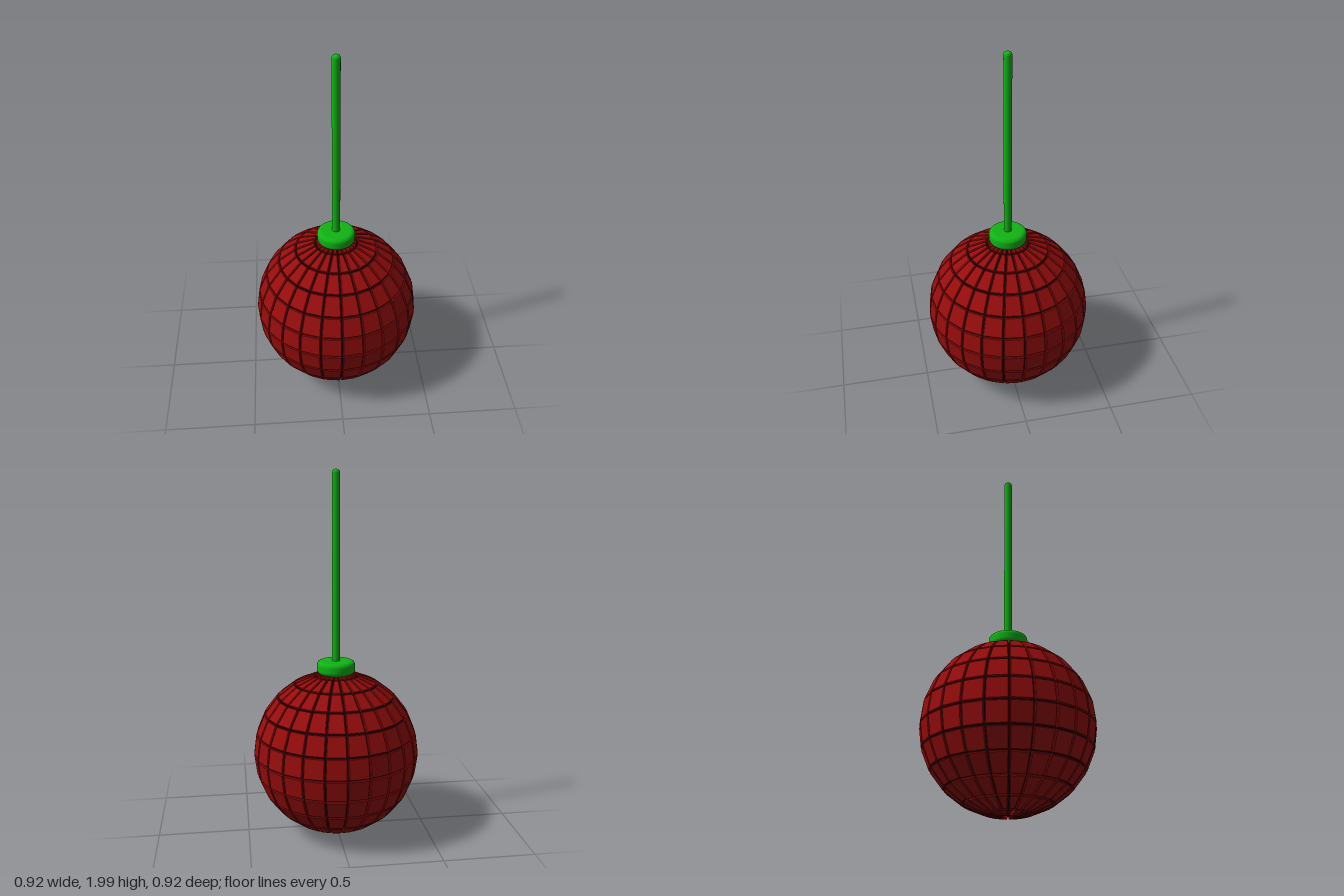
import * as THREE from 'three';

const RADIUS = 0.458, CENTER = 0.46, SEGMENTS = 24, RINGS = 12;
const STEP = Math.PI / RINGS;

const paint = (color) => new THREE.MeshStandardMaterial({ color });

function spherePoint(r, lat, lon) {
  return [r * Math.cos(lat) * Math.sin(lon), r * Math.sin(lat), r * Math.cos(lat) * Math.cos(lon)];
}

// Four corners of one tile, pulled in from its cell by a margin
function tileLoop(ring, seg, r, margin) {
  const half = Math.PI / SEGMENTS;
  const poleLimit = Math.acos(Math.min(1, (margin * 1.1) / (RADIUS * half)));
  const clamp = (lat) => Math.max(-poleLimit, Math.min(poleLimit, lat));
  const low = clamp(-Math.PI / 2 + ring * STEP + margin / RADIUS);
  const high = clamp(-Math.PI / 2 + (ring + 1) * STEP - margin / RADIUS);
  const mid = (seg + 0.5) * 2 * half;
  const w = (lat) => Math.max(0.002, half - margin / (RADIUS * Math.cos(lat)));
  return [
    spherePoint(r, low, mid - w(low)), spherePoint(r, low, mid + w(low)),
    spherePoint(r, high, mid + w(high)), spherePoint(r, high, mid - w(high)),
  ];
}

// All bevelled tiles in one faceted geometry
function tilesGeometry() {
  const pos = [];
  const quad = (a, b, c, d) => pos.push(...a, ...b, ...c, ...a, ...c, ...d);
  for (let ring = 0; ring < RINGS; ring++) {
    for (let seg = 0; seg < SEGMENTS; seg++) {
      const loops = [
        tileLoop(ring, seg, RADIUS - 0.02, 0.003),
        tileLoop(ring, seg, RADIUS - 0.004, 0.003),
        tileLoop(ring, seg, RADIUS, 0.007),
      ];
      for (let k = 0; k < 2; k++) {
        for (let i = 0; i < 4; i++) {
          const j = (i + 1) % 4;
          quad(loops[k][i], loops[k][j], loops[k + 1][j], loops[k + 1][i]);
        }
      }
      quad(...loops[2]);
    }
  }
  const geo = new THREE.BufferGeometry();
  geo.setAttribute('position', new THREE.Float32BufferAttribute(pos, 3));
  geo.computeVertexNormals();
  return geo;
}

// Round solid with softened rims, from the bottom axis point to the top one
function roundedDisc(radius, y0, y1, bevel, sides) {
  const pts = [new THREE.Vector2(0, y0)];
  for (let i = 0; i <= 6; i++) {
    const a = -Math.PI / 2 + (i / 6) * (Math.PI / 2);
    pts.push(new THREE.Vector2(radius - bevel + bevel * Math.cos(a), y0 + bevel + bevel * Math.sin(a)));
  }
  for (let i = 0; i <= 6; i++) {
    const a = (i / 6) * (Math.PI / 2);
    pts.push(new THREE.Vector2(radius - bevel + bevel * Math.cos(a), y1 - bevel + bevel * Math.sin(a)));
  }
  pts.push(new THREE.Vector2(0, y1));
  return new THREE.LatheGeometry(pts, sides);
}

export function createModel() {
  const group = new THREE.Group();
  const add = (name, geometry, material, y = 0) => {
    const mesh = new THREE.Mesh(geometry, material);
    mesh.name = name;
    mesh.position.y = y;
    group.add(mesh);
  };
  const red = paint(0x960c0c), green = paint(0x10b414), groove = paint(0x2a0303);

  // Mirror ball: dark core showing in the grooves between the tiles
  add('ballCore', new THREE.SphereGeometry(RADIUS - 0.012, SEGMENTS, RINGS), groove, CENTER);
  add('ballTiles', tilesGeometry(), red, CENTER);

  // Hanging hardware
  add('cap', roundedDisc(0.105, 0.908, 0.982, 0.025, 32), green);
  add('rod', roundedDisc(0.022, 0.95, 2, 0.018, 16), green);
  return group;
}
